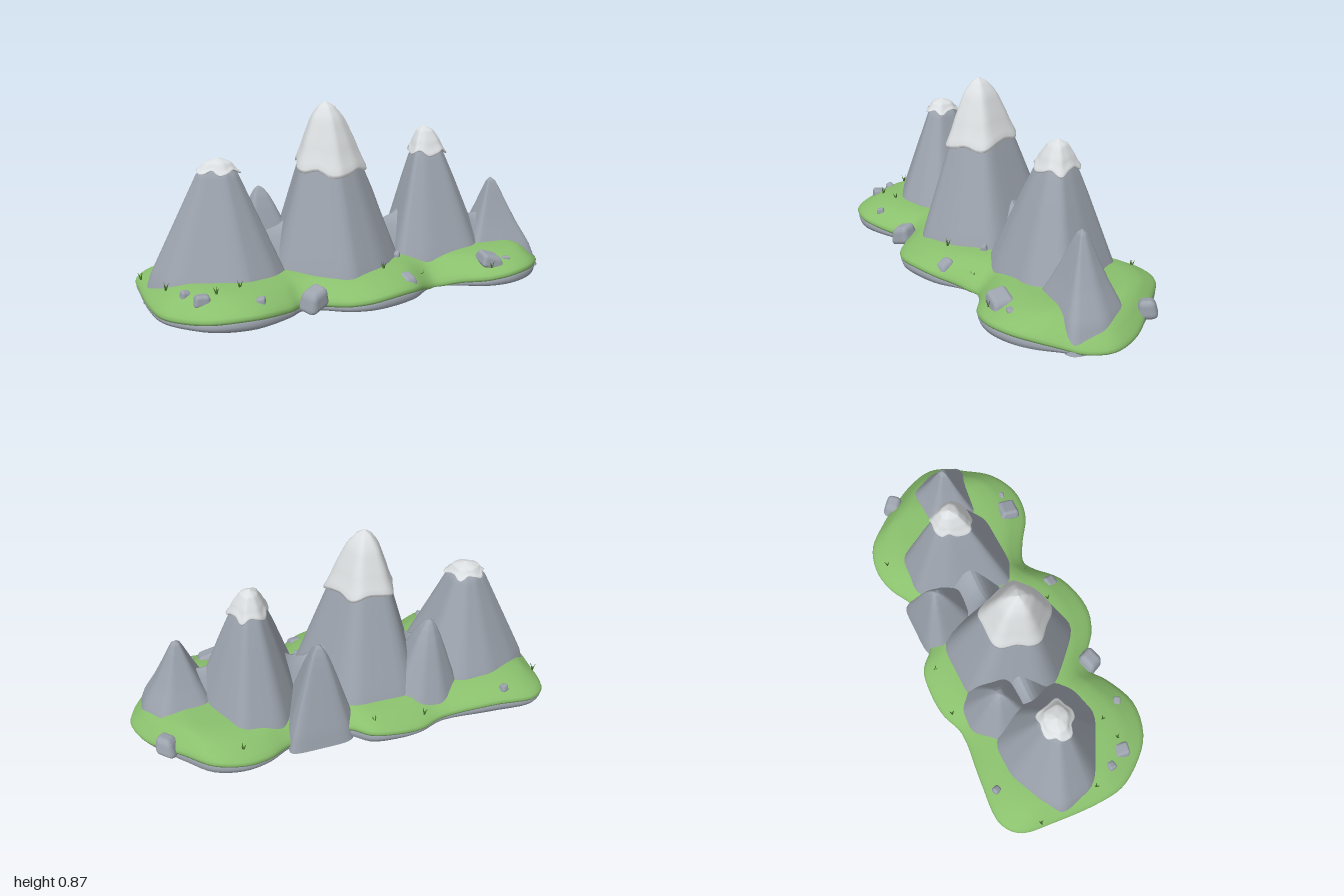
import * as THREE from 'three';
import { RoundedBoxGeometry } from 'three/addons/geometries/RoundedBoxGeometry.js';

const V3 = (x, y, z) => new THREE.Vector3(x, y, z);
const material = (name, color) => {
  const m = new THREE.MeshStandardMaterial({ color });
  m.name = name;
  return m;
};

// Skin through closed rings listed from bottom to top (each clockwise seen from above)
function loft(rings) {
  const n = rings[0].length, pos = [], idx = [];
  rings.forEach(r => r.forEach(p => pos.push(p.x, p.y, p.z)));
  for (let i = 0; i < rings.length - 1; i++) {
    for (let j = 0; j < n; j++) {
      const k = (j + 1) % n, a = i * n + j, b = a + n, c = i * n + k, d = c + n;
      idx.push(a, b, d, a, d, c);
    }
  }
  const g = new THREE.BufferGeometry();
  g.setAttribute('position', new THREE.Float32BufferAttribute(pos, 3));
  g.setIndex(idx);
  g.computeVertexNormals();
  return g;
}

// Polygon with softly rounded corners
function roundPolygon(pts) {
  const out = [], n = pts.length;
  pts.forEach(([x, z], i) => {
    const [px, pz] = pts[(i + n - 1) % n], [nx, nz] = pts[(i + 1) % n];
    const c = new THREE.QuadraticBezierCurve(
      new THREE.Vector2(x + (px - x) * 0.25, z + (pz - z) * 0.25),
      new THREE.Vector2(x, z),
      new THREE.Vector2(x + (nx - x) * 0.25, z + (nz - z) * 0.25));
    out.push(...c.getPoints(4));
    out.push(new THREE.Vector2((x + nx) / 2, (z + nz) / 2));
  });
  return out;
}

// Slope profiles: [height fraction, scale of footprint]
const BROAD = [[0, 1.14], [0.16, 1.02], [0.4, 0.78], [0.65, 0.53], [0.8, 0.37], [0.91, 0.23], [0.975, 0.11], [1, 0]];
const BLUNT = [[0, 1.14], [0.2, 1.02], [0.4, 0.82], [0.65, 0.57], [0.8, 0.42], [0.91, 0.31], [0.975, 0.17], [1, 0]];
const POINTED = [[0, 1.22], [0.25, 1], [0.5, 0.66], [0.7, 0.42], [0.87, 0.23], [0.96, 0.12], [1, 0]];
function scaleAt(profile, h) {
  for (let i = 1; i < profile.length; i++) {
    const [h0, s0] = profile[i - 1], [h1, s1] = profile[i];
    if (h <= h1) return s0 + (s1 - s0) * (h - h0) / (h1 - h0);
  }
  return 0;
}

// snow: [edge height, dip towards the front, waviness]
const PEAKS = [
  { name: 'leftPeak', apex: [-0.645, -0.05], height: 0.635, profile: BLUNT, snow: [0.592, 0.003, 0.009],
    foot: [[-0.95, -0.14], [-0.86, -0.22], [-0.71, -0.29], [-0.55, -0.29], [-0.41, -0.18], [-0.39, 0.1], [-0.47, 0.17], [-0.63, 0.21], [-0.91, 0.05]] },
  { name: 'backLeftPeak', apex: [-0.4, -0.2], height: 0.465, profile: BROAD,
    foot: [[-0.55, -0.27], [-0.43, -0.36], [-0.3, -0.36], [-0.2, -0.28], [-0.22, -0.04], [-0.55, -0.04]] },
  { name: 'mainPeak', apex: [-0.15, 0.015], height: 0.862, profile: BROAD, snow: [0.588, 0.022, 0.01],
    foot: [[-0.43, 0.08], [-0.31, -0.29], [0.04, -0.3], [0.185, 0.12], [0.02, 0.26], [-0.18, 0.32]] },
  { name: 'backPeak', apex: [0.165, -0.255], height: 0.49, profile: BROAD,
    foot: [[0.01, -0.3], [0.07, -0.37], [0.32, -0.37], [0.325, -0.29], [0.27, -0.06], [0.05, -0.08]] },
  { name: 'rightPeak', apex: [0.415, -0.05], height: 0.702, profile: BROAD, snow: [0.594, 0.006, 0.011],
    foot: [[0.16, 0.15], [0.23, -0.15], [0.35, -0.29], [0.55, -0.29], [0.64, -0.1], [0.68, 0.08], [0.56, 0.2], [0.3, 0.2]] },
  { name: 'farRightPeak', apex: [0.745, 0.06], height: 0.443, profile: POINTED,
    foot: [[0.58, 0.17], [0.62, -0.08], [0.86, -0.09], [0.93, 0.06], [0.9, 0.212], [0.72, 0.19]] },
  // Ridges joining neighbouring mountains, sagging in the middle
  { name: 'leftRidge', apex: [-0.42, -0.06], height: 0.285, profile: BROAD, sag: 5,
    foot: [[-0.54, -0.2], [-0.3, -0.2], [-0.3, 0.13], [-0.54, 0.13]] },
  { name: 'middleRidge', apex: [0.17, -0.03], height: 0.275, profile: BROAD, sag: 5,
    foot: [[0.04, -0.22], [0.3, -0.22], [0.3, 0.14], [0.04, 0.14]] },
  { name: 'rightRidge', apex: [0.645, 0.05], height: 0.265, profile: BROAD, sag: 4,
    foot: [[0.55, -0.09], [0.74, -0.09], [0.74, 0.18], [0.55, 0.18]] },
];

function peakGeometry({ foot, apex, height, profile, sag = 0 }) {
  const poly = roundPolygon(foot), rings = [];
  for (let i = 0; i <= 32; i++) {
    const h = Math.sin(i / 32 * Math.PI / 2), s = scaleAt(profile, h);
    rings.push(poly.map(p => {
      const dx = p.x - apex[0];
      return V3(apex[0] + dx * (sag ? 1 : s), h * (height + sag * dx * dx), apex[1] + (p.y - apex[1]) * s);
    }));
  }
  return loft(rings);
}

// Snow follows the slope, with a thick wavy lower lip
function snowGeometry({ foot, apex, height, profile, snow }) {
  const poly = roundPolygon(foot).flatMap((p, i, all) => [p, p.clone().lerp(all[(i + 1) % all.length], 0.5)]);
  const layers = [[0.06, -0.006], [-0.02, 0.005], [-0.03, 0.013], [0.02, 0.018], [0.1, 0.015]];
  for (let i = 3; i <= 20; i++) layers.push([Math.sin(i / 20 * Math.PI / 2), 0.012]);
  return loft(layers.map(([u, off]) => poly.map(p => {
    const dx = p.x - apex[0], dz = p.y - apex[1], len = Math.hypot(dx, dz), a = Math.atan2(dz, dx);
    const edge = snow[0] - snow[1] * Math.sin(a) + snow[2] * (Math.sin(5 * a + 2.6) + 0.3 * Math.sin(9 * a));
    const y = edge + (height - edge) * u;
    const r = scaleAt(profile, y / height) * len + off * (u > 0.8 ? (1 - u) / 0.2 : 1);
    return V3(apex[0] + dx / len * r, y + 0.012 * Math.max(u, 0), apex[1] + dz / len * r);
  })));
}

// Island outline, clockwise from the left end
const OUTLINE = [
  [-1, 0.05], [-0.985, -0.2], [-0.955, -0.37], [-0.87, -0.437], [-0.65, -0.43], [-0.4, -0.408], [-0.28, -0.45],
  [-0.16, -0.46], [-0.03, -0.44], [0.06, -0.36], [0.2, -0.31], [0.34, -0.35], [0.45, -0.41], [0.57, -0.432],
  [0.7, -0.395], [0.8, -0.29], [0.88, -0.19], [0.96, -0.07], [1, 0.07], [0.96, 0.18], [0.9, 0.25], [0.82, 0.34],
  [0.73, 0.4], [0.62, 0.43], [0.5, 0.41], [0.38, 0.33], [0.29, 0.29], [0.22, 0.32], [0.1, 0.41], [-0.1, 0.455],
  [-0.22, 0.42], [-0.32, 0.34], [-0.4, 0.31], [-0.48, 0.36], [-0.65, 0.42], [-0.82, 0.38], [-0.93, 0.27], [-0.985, 0.17],
];
const outline = new THREE.CatmullRomCurve3(OUTLINE.map(([x, z]) => V3(x, 0, z)), true).getPoints(160).slice(0, -1);

// Ring moved a fraction t from the outline towards the island's long axis
const islandRing = (t, yOf) => outline.map(p => {
  const ax = THREE.MathUtils.clamp(p.x, -0.7, 0.75);
  const q = V3(p.x + (ax - p.x) * t, 0, p.z + (-0.02 - p.z) * t);
  q.y = yOf(p, q);
  return q;
});

const rimHeight = p => 0.045 + 0.013 * Math.sin(p.x * 9 + 1.5)
  - 0.03 * Math.exp(-(((p.x - 0.27) / 0.1) ** 2)) * (p.z > 0 ? 1 : 0.3)
  - 0.025 * THREE.MathUtils.smoothstep(p.x, 0.8, 0.98);
const rise = q => 1 - 0.25 * THREE.MathUtils.smoothstep(q.x, 0.76, 1);

export function createModel() {
  const model = new THREE.Group();
  const rock = material('rock grey', 0x9ca3ad);
  const grass = material('meadow green', 0x8ac06d);
  const snow = material('snow white', 0xdcdfe1);
  const blade = material('dark grass', 0x4c762f);
  const add = (name, geometry, mat, parent = model) => {
    const mesh = new THREE.Mesh(geometry, mat);
    mesh.name = name;
    parent.add(mesh);
    return mesh;
  };

  // Stone slab, with a crisp bottom edge, kept just under the grass
  add('stoneBase', loft([[1, 0], [0.06, 0], [0.06, 0], [0.025, 0.15], [0.012, 0.5], [0.025, 0.9], [0.08, 1]]
    .map(([t, f]) => islandRing(t, p => 0.003 + f * Math.max(0.003, rimHeight(p) - 0.003)))), rock);

  // Grass layer draped over the slab, and a patch showing on the underside
  add('meadow', loft([[0.07, 0], [0.012, -0.008], [0, 0.004], [0.015, 0.016], [0.06, 0.028], [0.13, 0.04], [0.2, 0.052], [0.3, 0.068], [0.5, 0.075], [1, 0.07]]
    .map(([t, lift]) => islandRing(t, (p, q) => Math.max(0.003,
      THREE.MathUtils.lerp(rimHeight(p), 0.07, Math.min(1, t * 1.6)) + lift * rise(q))))), grass);
  const patch = add('meadowUnderside', new THREE.BoxGeometry(0.2, 0.004, 0.16), grass);
  patch.position.set(0.12, 0.002, 0.14);
  patch.rotation.y = -Math.PI / 4;

  // Mountains and their snow caps
  for (const peak of PEAKS) {
    add(peak.name, peakGeometry(peak), rock);
    if (peak.snow) add(peak.name + 'Snow', snowGeometry(peak), snow);
  }

  // Boulders: [x, y, z, width, height]
  [[-0.36, 0.068, 0.33, 0.11, 0.09], [0.1, 0.072, 0.345, 0.085, 0.075], [0.56, 0.112, 0.33, 0.115, 0.06],
    [0.65, 0.1, 0.33, 0.05, 0.035], [0.87, 0.068, -0.2, 0.095, 0.09], [0.715, 0.122, -0.17, 0.034, 0.03],
    [-0.73, 0.105, -0.38, 0.042, 0.04], [-0.875, 0.112, 0.16, 0.05, 0.045], [-0.83, 0.108, 0.24, 0.08, 0.055],
    [-0.61, 0.102, 0.34, 0.045, 0.035], [0.145, 0.145, 0.165, 0.035, 0.035]].forEach(([x, y, z, w, h], i) => {
    const g = new RoundedBoxGeometry(w, h, w * 0.9, 3, h * 0.3), p = g.attributes.position;
    for (let k = 0; k < p.count; k++) {
      const taper = 0.95 - 0.3 * p.getY(k) / h;
      p.setXYZ(k, p.getX(k) * taper + p.getY(k) * 0.15, p.getY(k) + p.getX(k) * 0.12, p.getZ(k) * taper);
    }
    g.computeVertexNormals();
    const stone = add('boulder', g, rock);
    stone.position.set(x, y, z);
    stone.rotation.set(0.15, i * 1.3 + 0.4, 0.12);
  });

  // Small grass tufts of three splayed blades
  [[-0.77, 0.13, 0.25], [-0.66, 0.132, 0.23], [0.01, 0.134, 0.28], [0.22, 0.054, 0.265], [-0.96, 0.07, -0.26],
    [-0.93, 0.11, 0.05], [-0.3, 0.085, -0.41], [-0.06, 0.09, -0.385], [0.56, 0.09, -0.37], [0.54, 0.085, 0.375]].forEach(([x, y, z], i) => {
    const tuft = new THREE.Group();
    tuft.name = 'grassTuft';
    tuft.position.set(x, y, z);
    for (let k = 0; k < 3; k++) {
      const g = new THREE.ConeGeometry(0.005, 0.036, 5).translate(0, 0.018, 0).rotateZ(0.4);
      add('blade', g, blade, tuft).rotation.y = i + k * Math.PI * 2 / 3;
    }
    model.add(tuft);
  });
  return model;
}
